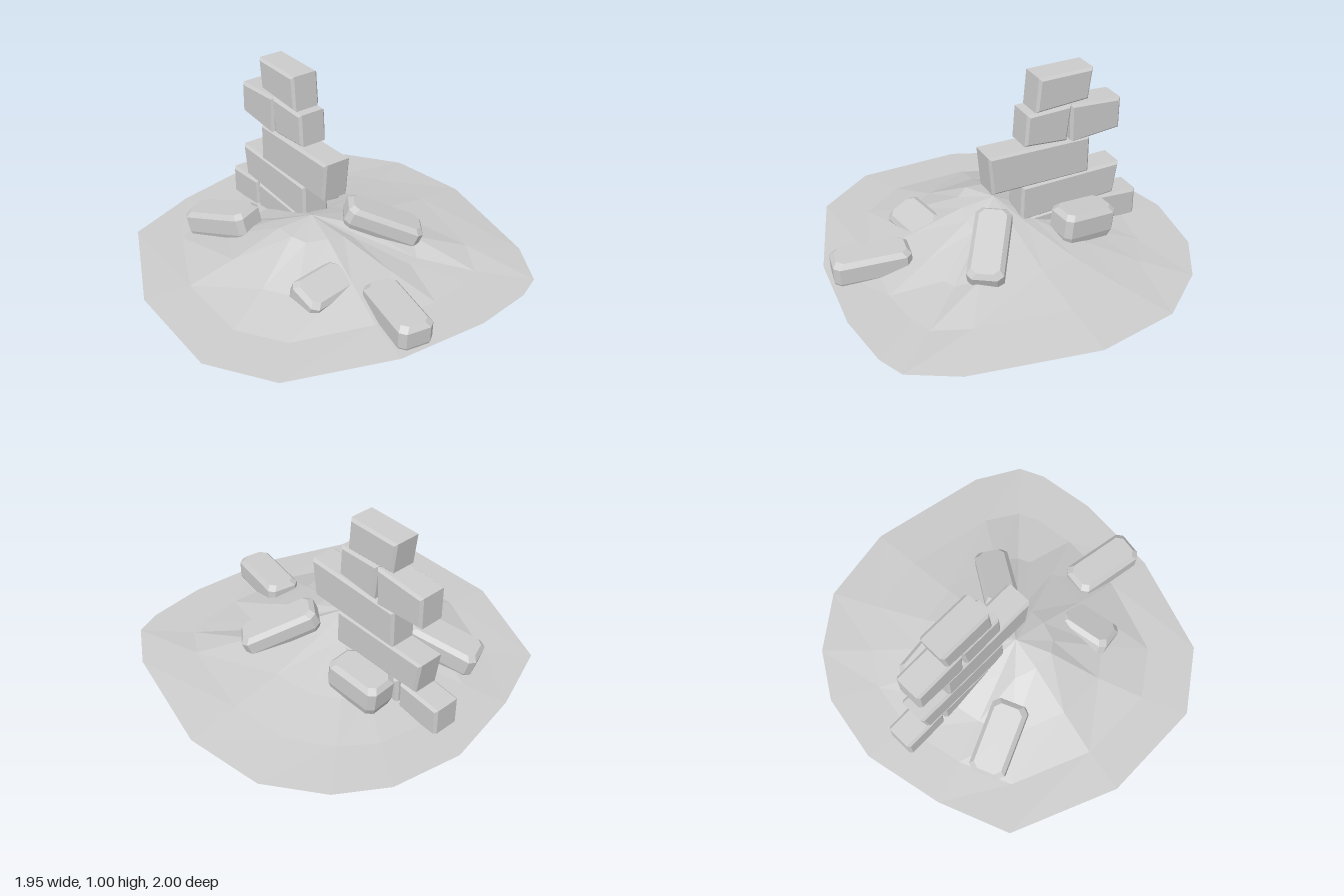
import * as THREE from 'three';

const material = new THREE.MeshStandardMaterial({ color: 0xcccccc, flatShading: true, side: THREE.DoubleSide });

// Skin between loops of points (listed bottom to top), closed by a fan to an apex
function loft(loops, apex) {
  const n = loops[0].length, pos = loops.flat(2).concat(apex), index = [];
  const top = loops.length * n;
  loops.forEach((_, r) => {
    for (let i = 0; i < n; i++) {
      const a = r * n + i, b = r * n + (i + 1) % n;
      if (r === loops.length - 1) index.push(b, a, top);
      else index.push(b, a, a + n, b, a + n, b + n);
    }
  });
  const g = new THREE.BufferGeometry();
  g.setAttribute('position', new THREE.Float32BufferAttribute(pos, 3));
  g.setIndex(index);
  const flat = g.toNonIndexed();
  flat.computeVertexNormals();
  return flat;
}

// Wall stone: four front corners, extruded through the wall with worn edges
function wallStone(corners) {
  const bevel = 0.014, depth = 0.16;
  const cx = corners.reduce((s, p) => s + p[0], 0) / 4;
  const cy = corners.reduce((s, p) => s + p[1], 0) / 4;
  const shape = new THREE.Shape(corners.map(([x, y]) =>
    new THREE.Vector2(x - Math.sign(x - cx) * bevel, y - Math.sign(y - cy) * bevel)));
  const g = new THREE.ExtrudeGeometry(shape, {
    depth: depth - 2 * bevel, bevelThickness: bevel, bevelSize: bevel, bevelSegments: 1
  });
  g.translate(0, 0, -depth / 2 + bevel - 0.008);
  return g;
}

// Fallen stone: clipped corners, chamfered top, open underneath
function looseStone(w, h, d) {
  const loop = (y, inset) => {
    const x = w / 2 - inset, z = d / 2 - inset, c = 0.03;
    return [[x, y, z - c], [x - c, y, z], [c - x, y, z], [-x, y, z - c],
      [-x, y, c - z], [c - x, y, -z], [x - c, y, -z], [x, y, c - z]];
  };
  return loft([loop(-h / 2, 0.012), loop(-h / 4, 0), loop(h / 2 - 0.025, 0), loop(h / 2, 0.022)], [0, h / 2, 0]);
}

export function createModel() {
  const model = new THREE.Group();
  const add = (name, geometry, parent = model) => {
    const mesh = new THREE.Mesh(geometry, material);
    mesh.name = name;
    parent.add(mesh);
    return mesh;
  };

  // Earth mound: the outline shrinks towards the peak in uneven rings
  const outline = [[-0.03, -1], [0.63, -0.86], [0.87, -0.72], [0.93, -0.58], [0.97, -0.26],
    [0.93, 0.23], [0.73, 0.78], [0.41, 1], [-0.17, 1], [-0.74, 0.75], [-0.89, 0.36],
    [-0.98, -0.09], [-0.91, -0.47], [-0.75, -0.72], [-0.47, -0.93]];
  const peak = [0, 0.29, 0.08];
  const rings = [
    [1, outline.map(() => 0.04)],
    [0.74, [0.08, 0.07, 0.05, 0.05, 0.05, 0.06, 0.05, 0.05, 0.05, 0.04, 0.05, 0.05, 0.05, 0.06, 0.07]],
    [0.48, [0.13, 0.14, 0.09, 0.09, 0.13, 0.15, 0.12, 0.12, 0.14, 0.1, 0.08, 0.09, 0.1, 0.11, 0.12]],
    [0.2, [0.22, 0.23, 0.2, 0.2, 0.23, 0.25, 0.25, 0.27, 0.26, 0.23, 0.2, 0.2, 0.19, 0.2, 0.21]]
  ];
  add('mound', loft(rings.map(([s, heights]) => outline.map(([x, z], i) =>
    [x * s, heights[i], peak[2] + (z - peak[2]) * s])), peak));

  // Ruined wall, from the ground course up
  const wall = new THREE.Group();
  wall.name = 'ruinedWall';
  model.add(wall);
  [
    [[-0.81, 0.03], [-0.55, 0.015], [-0.55, 0.22], [-0.81, 0.2]],
    [[-0.54, 0.04], [0.0, 0.05], [-0.02, 0.21], [-0.54, 0.22]],
    [[-0.66, 0.22], [-0.08, 0.2], [-0.085, 0.41], [-0.685, 0.41]],
    [[-0.49, 0.4], [0.09, 0.41], [0.11, 0.635], [-0.49, 0.62]],
    [[-0.67, 0.625], [-0.37, 0.605], [-0.365, 0.825], [-0.67, 0.805]],
    [[-0.35, 0.625], [-0.1, 0.645], [-0.11, 0.825], [-0.37, 0.83]],
    [[-0.47, 0.84], [-0.16, 0.825], [-0.175, 1.015], [-0.49, 1.015]]
  ].forEach((corners, i) => add(`wallStone${i + 1}`, wallStone(corners), wall));

  // Fallen stones: size, position, yaw, roll
  [
    ['frontRightStone', [0.41, 0.15, 0.2], [-0.43, 0.145, 0.37], 0.39, 0.26],
    ['backLeftStone', [0.43, 0.12, 0.19], [0.19, 0.225, -0.25], 0.97, -0.4],
    ['backRightStone', [0.32, 0.17, 0.19], [-0.39, 0.19, -0.2], 0.08, 0.1],
    ['frontLeftStone', [0.2, 0.14, 0.31], [0.37, 0.11, 0.28], 0.15, -0.38],
    ['sideStone', [0.41, 0.15, 0.19], [0.715, 0.095, 0.08], -0.17, -0.02]
  ].forEach(([name, size, position, yaw, roll]) => {
    const stone = add(name, looseStone(...size));
    stone.position.set(...position);
    stone.rotation.set(0, yaw, roll, 'YXZ');
  });

  return model;
}
